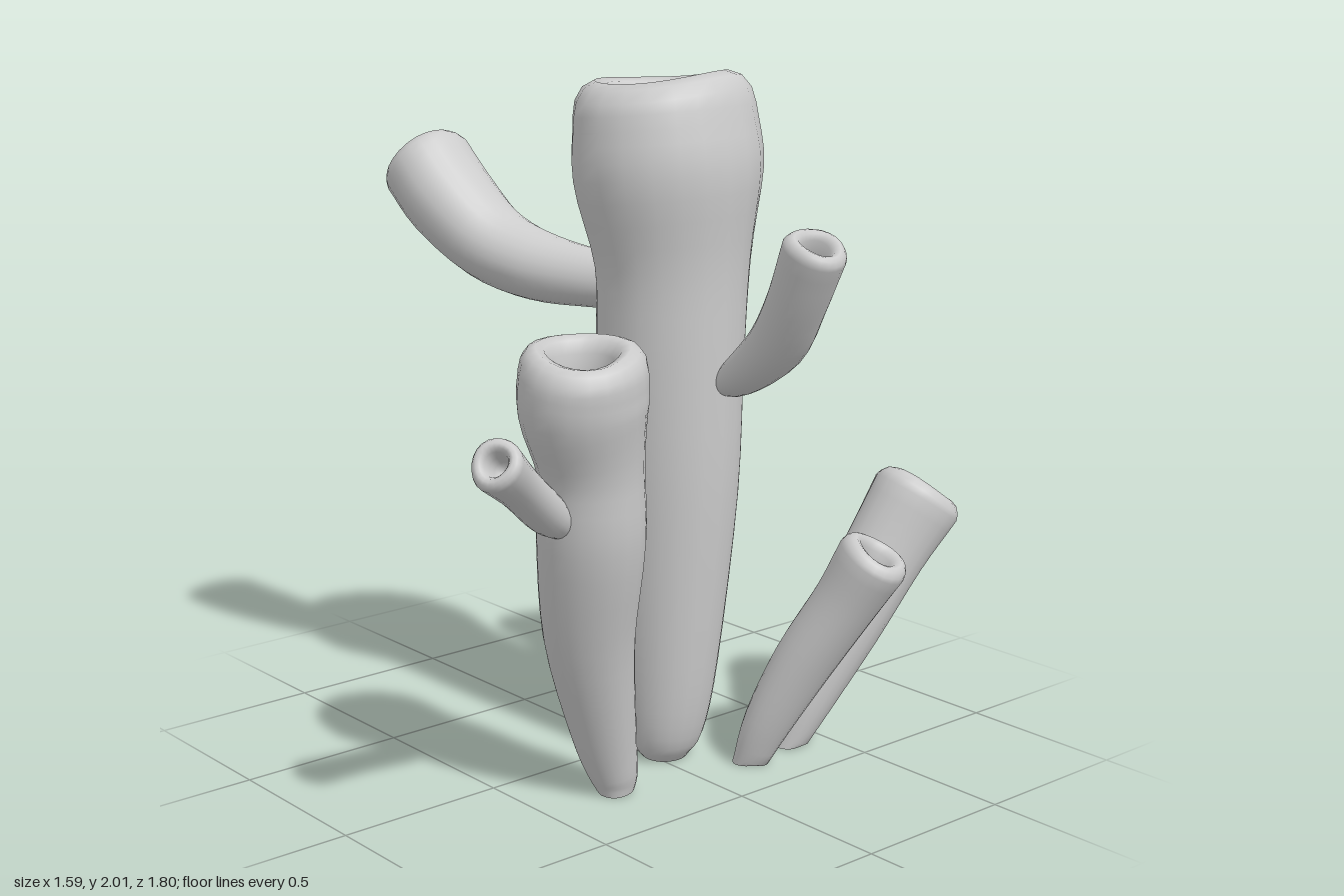
import * as THREE from 'three';

const SIDES = 22;

// Rim and cavity past the shoulder: [offset along axis, radius], both times the shoulder radius
const RIM = [[0.15, 0.96], [0.29, 0.86], [0.35, 0.72], [0.3, 0.58], [0.12, 0.47],
  [-0.25, 0.4], [-0.65, 0.36], [-0.9, 0.25], [-0.98, 0.02]];

// Hollow organic tube. pts: [x, y, z, radius] from root to shoulder
function spongeTube(name, pts, seed, material) {
  const path = new THREE.CatmullRomCurve3(pts.map(p => new THREE.Vector3(p[0], p[1], p[2])), false, 'catmullrom');
  const radii = new THREE.CatmullRomCurve3(pts.map(p => new THREE.Vector3(p[3], 0, 0)), false, 'catmullrom');
  const rows = [];
  const steps = (pts.length - 1) * 4;
  for (let i = 0; i <= steps; i++) {
    const t = i / steps;
    rows.push({ c: path.getPoint(t), d: path.getTangent(t), r: radii.getPoint(t).x, lip: 0 });
  }
  const end = rows[steps];
  for (const [along, f] of RIM) {
    rows.push({ c: end.c.clone().addScaledVector(end.d, along * end.r), d: end.d, r: end.r * f, lip: along > 0 ? 0.03 * end.r : 0 });
  }

  const pos = [], index = [];
  const ref = new THREE.Vector3(0, 0, 1);
  rows.forEach(({ c, d, r, lip }, k) => {
    const u = new THREE.Vector3().crossVectors(ref, d).normalize();
    const v = new THREE.Vector3().crossVectors(d, u);
    for (let i = 0; i < SIDES; i++) {
      const a = i / SIDES * Math.PI * 2;
      // Gentle lumps keep the wall irregular
      const w = r * (1 + 0.025 * Math.sin(2 * a + seed + k * 0.15) + 0.025 * Math.sin(3 * a + seed * 2.3 - k * 0.2));
      const p = c.clone().addScaledVector(u, Math.cos(a) * w).addScaledVector(v, Math.sin(a) * w)
        .addScaledVector(d, lip * Math.sin(2 * a + seed));
      pos.push(p.x, Math.max(0, p.y), p.z);
    }
    if (k === 0) return;
    for (let i = 0; i < SIDES; i++) {
      const j = (i + 1) % SIDES, a = (k - 1) * SIDES, b = k * SIDES;
      index.push(a + i, a + j, b + j, a + i, b + j, b + i);
    }
  });

  // Root cap with its own corners, so its edge stays sharp
  const base = pos.length / 3;
  pos.push(...pos.slice(0, SIDES * 3));
  pos.push(pts[0][0], Math.max(0, pts[0][1]), pts[0][2]);
  for (let i = 0; i < SIDES; i++) index.push(base + SIDES, base + (i + 1) % SIDES, base + i);

  const geo = new THREE.BufferGeometry();
  geo.setAttribute('position', new THREE.Float32BufferAttribute(pos, 3));
  geo.setIndex(index);
  geo.computeVertexNormals();
  const mesh = new THREE.Mesh(geo, material);
  mesh.name = name;
  return mesh;
}

export function createModel() {
  const group = new THREE.Group();
  group.name = 'tubeSponge';
  const material = new THREE.MeshStandardMaterial({ color: 0xcccccc });

  const tubes = {
    // Tall central tube and its two side branches
    trunk: [[0.12, 0, -0.04, 0.065], [0.12, 0.08, -0.04, 0.115], [0.115, 0.3, -0.055, 0.155], [0.105, 0.8, -0.075, 0.205],
      [0.105, 1.2, -0.075, 0.217], [0.108, 1.47, -0.075, 0.225], [0.093, 1.72, -0.065, 0.27], [0.078, 1.895, -0.06, 0.255]],
    leftBranch: [[0, 1.4, -0.04, 0.08], [-0.12, 1.4, 0.02, 0.085], [-0.3, 1.42, 0.085, 0.105], [-0.46, 1.475, 0.135, 0.12],
      [-0.6, 1.59, 0.18, 0.135], [-0.695, 1.69, 0.198, 0.135]],
    rightBranch: [[0.27, 1.14, -0.1, 0.03], [0.37, 1.18, -0.095, 0.06], [0.52, 1.29, -0.085, 0.08],
      [0.62, 1.42, -0.06, 0.08], [0.7, 1.57, -0.045, 0.086]],
    // Shorter front tube with a small spout
    frontTube: [[0.245, 0, 0.25, 0.05], [0.24, 0.06, 0.255, 0.07], [0.24, 0.2, 0.29, 0.093], [0.265, 0.5, 0.36, 0.127],
      [0.32, 0.8, 0.4, 0.15], [0.34, 1, 0.42, 0.148], [0.35, 1.17, 0.455, 0.178], [0.366, 1.27, 0.465, 0.175]],
    frontSpout: [[0.33, 0.85, 0.5, 0.04], [0.37, 0.91, 0.59, 0.058], [0.44, 1.02, 0.73, 0.06], [0.505, 1.11, 0.85, 0.07]],
    // Leaning tubes around the back
    backLeftTube: [[0, -0.02, -0.17, 0.05], [-0.04, 0.16, -0.22, 0.082], [-0.12, 0.42, -0.32, 0.112],
      [-0.235, 0.7, -0.44, 0.14], [-0.3, 0.88, -0.5, 0.163]],
    backTube: [[0.3, -0.02, -0.37, 0.045], [0.32, 0.14, -0.44, 0.08], [0.35, 0.35, -0.55, 0.11],
      [0.39, 0.57, -0.68, 0.12], [0.42, 0.72, -0.775, 0.135]],
    backRightTube: [[0.32, -0.02, -0.19, 0.045], [0.37, 0.13, -0.22, 0.068], [0.45, 0.32, -0.28, 0.085],
      [0.55, 0.51, -0.345, 0.092], [0.618, 0.645, -0.385, 0.105]],
  };
  Object.entries(tubes).forEach(([name, pts], i) => group.add(spongeTube(name, pts, i * 1.7 + 0.6, material)));
  return group;
}
